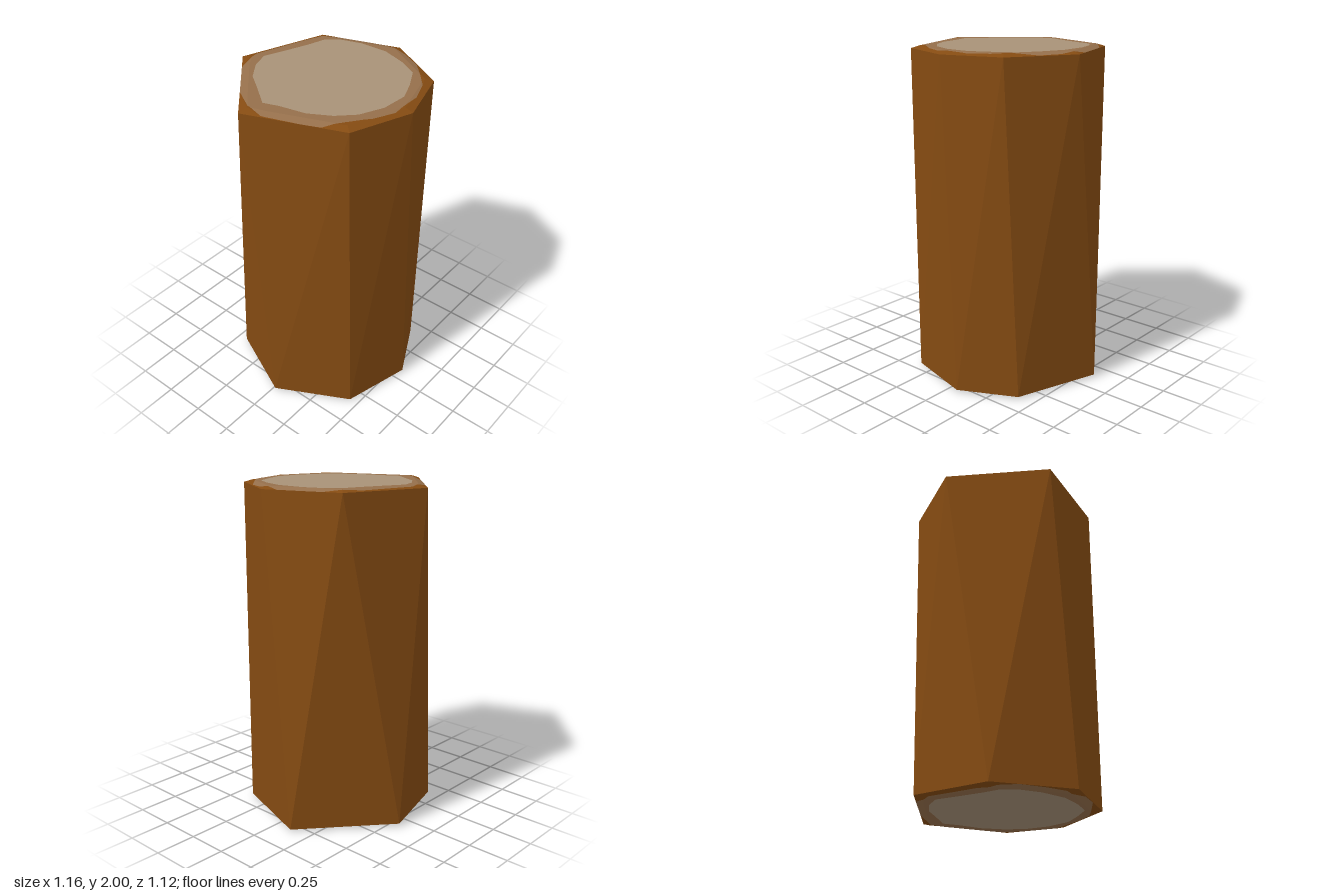
import * as THREE from 'three';

const RIM = 0.015; // height of the shallow bevel at each end
const INSET = 0.91; // where the bevel starts, as a share of the radius

// Corners of the two ends as [x, z], clockwise from the back
const topEnd = [[-0.1, -0.56], [0.41, -0.39], [0.56, 0.07], [0.345, 0.45], [-0.01, 0.56], [-0.37, 0.43], [-0.58, -0.13]];
const bottomEnd = [[0.09, -0.56], [0.58, -0.13], [0.405, 0.39], [0.07, 0.56], [-0.345, 0.45], [-0.575, 0.02], [-0.37, -0.43]];

// Wavy outlines of the heartwood and the sapwood ring
const heartOutline = [
  [-0.04, -0.45], [0.09, -0.4], [0.23, -0.35], [0.34, -0.32], [0.4, -0.25], [0.44, -0.12], [0.445, 0.05],
  [0.395, 0.2], [0.33, 0.32], [0.2, 0.39], [0.08, 0.44], [-0.08, 0.43], [-0.22, 0.37], [-0.31, 0.28],
  [-0.38, 0.155], [-0.41, 0], [-0.44, -0.09], [-0.34, -0.22], [-0.26, -0.33], [-0.15, -0.41],
];
const sapOutline = [
  [-0.03, -0.51], [0.1, -0.47], [0.27, -0.42], [0.37, -0.37], [0.45, -0.28], [0.53, -0.02], [0.5, 0.15],
  [0.44, 0.27], [0.34, 0.36], [0.25, 0.44], [0.12, 0.49], [-0.08, 0.5], [-0.2, 0.45], [-0.3, 0.38],
  [-0.42, 0.29], [-0.47, 0.2], [-0.53, -0.02], [-0.51, -0.13], [-0.4, -0.3], [-0.2, -0.47],
];

const mirrorX = (points) => points.map(([x, z]) => [-x, z]);

// Distance from the centre to an outline in the direction of an angle
function radiusAt(outline, angle) {
  const c = Math.cos(angle), s = Math.sin(angle);
  let best = 0;
  outline.forEach(([x, z], i) => {
    const [x2, z2] = outline[(i + 1) % outline.length];
    const ex = x2 - x, ez = z2 - z;
    const det = ex * s - ez * c;
    if (Math.abs(det) < 1e-9) return;
    const r = (ex * z - ez * x) / det;
    const t = (c * z - s * x) / det;
    if (r > 0 && t > -1e-6 && t < 1 + 1e-6) best = Math.max(best, r);
  });
  return best;
}

function makeMesh(name, triangles, material) {
  const geometry = new THREE.BufferGeometry();
  geometry.setAttribute('position', new THREE.Float32BufferAttribute(triangles.flat(2), 3));
  geometry.computeVertexNormals(); // unshared corners give flat facets
  const mesh = new THREE.Mesh(geometry, material);
  mesh.name = name;
  return mesh;
}

// Bark wall: alternating triangles between the two ends
function makeWall(material) {
  const n = topEnd.length, triangles = [];
  const top = (i) => [topEnd[i % n][0], 2 - RIM, topEnd[i % n][1]];
  const low = (i) => [bottomEnd[i % n][0], RIM, bottomEnd[i % n][1]];
  for (let i = 0; i < n; i++) {
    triangles.push([top(i), top(i + 1), low(i)], [top(i + 1), low(i + 1), low(i)]);
  }
  return makeMesh('barkWall', triangles, material);
}

// Cut end: heartwood, sapwood and a bark edge, with a shallow bevel
function makeCut(name, end, heart, sap, isTop, materials) {
  const group = new THREE.Group();
  group.name = name;
  const angles = [...end, ...heart, ...sap]
    .map(([x, z]) => Math.atan2(z, x))
    .sort((a, b) => a - b)
    .filter((a, i, all) => i === 0 || a - all[i - 1] > 1e-4);

  const rays = angles.map((angle) => {
    const edge = radiusAt(end, angle);
    const flat = edge * INSET;
    const sapR = Math.min(radiusAt(sap, angle), edge);
    const heartR = Math.min(radiusAt(heart, angle), sapR);
    const point = (r) => {
      const drop = RIM * Math.max(0, (r - flat) / (edge - flat));
      return [r * Math.cos(angle), isTop ? 2 - drop : drop, r * Math.sin(angle)];
    };
    // each zone is split where the bevel starts
    const zone = (a, b) => [a, THREE.MathUtils.clamp(flat, a, b), b].map(point);
    return [zone(0, heartR), zone(heartR, sapR), zone(sapR, edge)];
  });

  const same = (a, b) => a.every((v, i) => Math.abs(v - b[i]) < 1e-6);
  ['heartwood', 'sapwood', 'barkEdge'].forEach((part, k) => {
    const triangles = [];
    const add = (a, b, c) => {
      if (same(a, b) || same(b, c) || same(a, c)) return;
      triangles.push(isTop ? [a, b, c] : [a, c, b]);
    };
    rays.forEach((ray, i) => {
      const p = ray[k], q = rays[(i + 1) % rays.length][k];
      for (let j = 0; j < 2; j++) {
        add(p[j], q[j], q[j + 1]);
        add(p[j], q[j + 1], p[j + 1]);
      }
    });
    group.add(makeMesh(part, triangles, materials[k]));
  });
  return group;
}

export function createModel() {
  const material = (name, color) => {
    const m = new THREE.MeshStandardMaterial({ color });
    m.name = name;
    return m;
  };
  const bark = material('bark', 0x854b12);
  const sapwood = material('sapwood', 0x956f4b);
  const heartwood = material('heartwood', 0xa89278);
  const materials = [heartwood, sapwood, bark];

  const log = new THREE.Group();
  log.name = 'log';
  log.add(makeWall(bark));
  log.add(makeCut('topCut', topEnd, heartOutline, sapOutline, true, materials));
  log.add(makeCut('bottomCut', bottomEnd, mirrorX(heartOutline), mirrorX(sapOutline), false, materials));
  return log;
}
